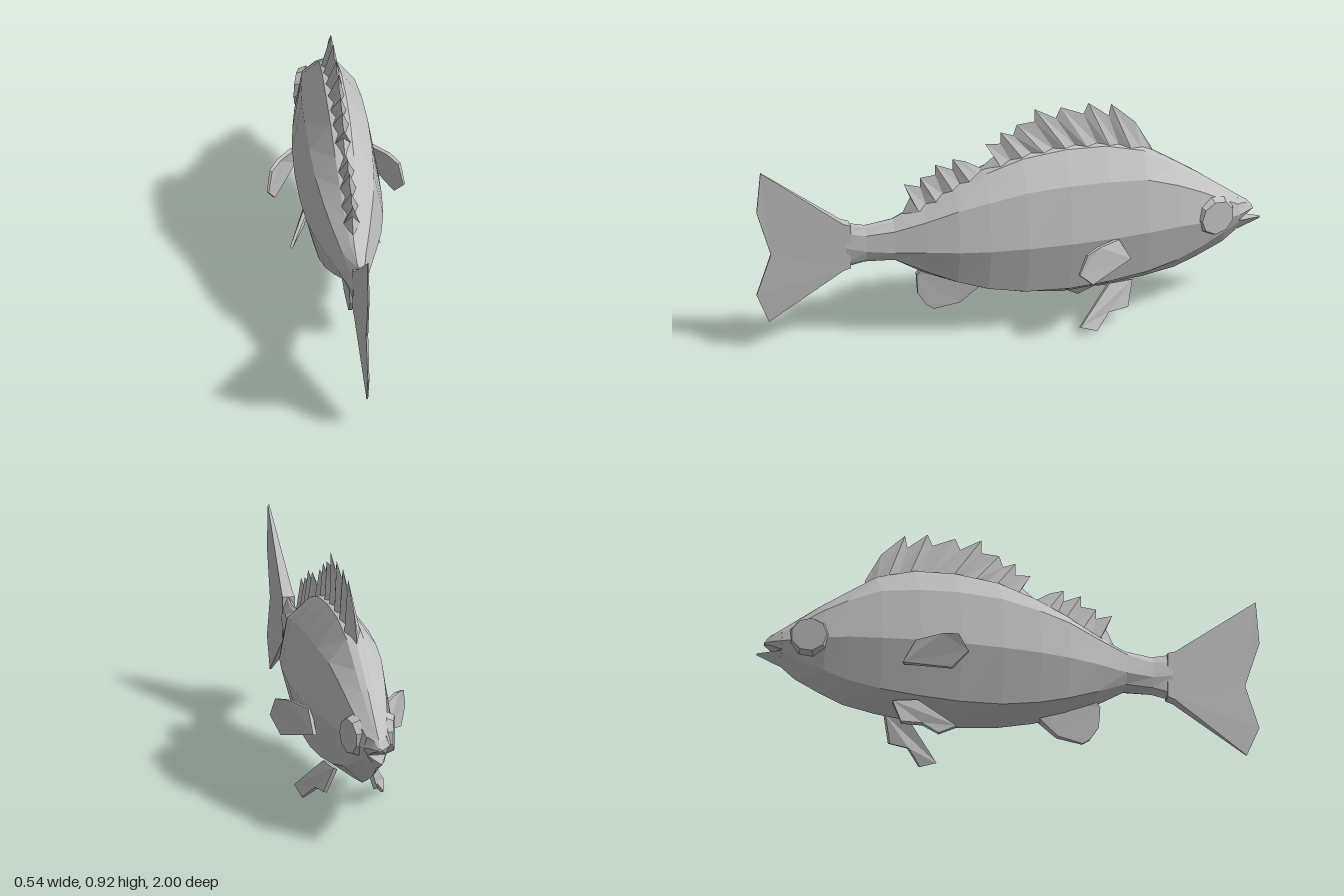
import * as THREE from 'three';

const skin = new THREE.MeshStandardMaterial({ color: 0xc0c0c0, side: THREE.DoubleSide });
skin.name = 'pale grey';

// Faceted mesh from a list of triangles, each three [x, y, z] corners
function facets(name, tris) {
  const g = new THREE.BufferGeometry();
  g.setAttribute('position', new THREE.Float32BufferAttribute(tris.flat(2), 3));
  g.computeVertexNormals();
  const m = new THREE.Mesh(g, skin);
  m.name = name;
  return m;
}

// Full ring from the +x half outline [x, y], running top to bottom
function ring(z, half) {
  const right = half.map(([x, y]) => [x, y, z]);
  const left = half.slice(1, -1).reverse().map(([x, y]) => [-x, y, z]);
  return [...right, ...left];
}

// Skin over rings ordered along z, with closed ends
function loft(name, rings) {
  const tris = [], n = rings[0].length, last = rings[rings.length - 1];
  for (let i = 0; i + 1 < rings.length; i++) {
    for (let j = 0; j < n; j++) {
      const k = (j + 1) % n;
      const a = rings[i][j], b = rings[i][k], c = rings[i + 1][k], d = rings[i + 1][j];
      tris.push([a, d, c], [a, c, b]);
    }
  }
  for (let j = 1; j + 1 < n; j++) {
    tris.push([rings[0][0], rings[0][j], rings[0][j + 1]]);
    tris.push([last[0], last[j + 1], last[j]]);
  }
  return facets(name, tris);
}

// Fin plate: outline of [x, y, z, half thickness], thickened along dir
function fin(name, pts, dir, side = 1) {
  const flat = pts.map(p => new THREE.Vector2(p[2], p[1]));
  const at = (i, s) => {
    const p = pts[i];
    return [side * (p[0] + s * dir[0] * p[3]), p[1] + s * dir[1] * p[3], p[2] + s * dir[2] * p[3]];
  };
  const tris = [];
  const add = (a, b, c) => tris.push(side > 0 ? [a, b, c] : [a, c, b]);
  for (const f of THREE.ShapeUtils.triangulateShape(flat, [])) {
    const cw = THREE.ShapeUtils.area(f.map(i => flat[i])) < 0;
    const [a, b, c] = cw ? f : [f[0], f[2], f[1]];
    add(at(a, 1), at(b, 1), at(c, 1));
    add(at(a, -1), at(c, -1), at(b, -1));
  }
  const cwAll = THREE.ShapeUtils.area(flat) < 0;
  pts.forEach((_, i) => {
    const j = (i + 1) % pts.length;
    const [a, b] = cwAll ? [i, j] : [j, i];
    add(at(a, 1), at(a, -1), at(b, -1));
    add(at(a, 1), at(b, -1), at(b, 1));
  });
  return facets(name, tris);
}

// Body stations: z, top y, shoulder y, half width, flank y, lower ridge y, belly y
const stations = [
  [-0.91, 0.45, 0.425, 0.052, 0.385, 0.345, 0.30],
  [-0.85, 0.495, 0.46, 0.072, 0.39, 0.318, 0.25],
  [-0.75, 0.57, 0.52, 0.10, 0.395, 0.27, 0.20],
  [-0.66, 0.63, 0.565, 0.117, 0.40, 0.235, 0.162],
  [-0.53, 0.715, 0.615, 0.138, 0.40, 0.205, 0.137],
  [-0.38, 0.755, 0.63, 0.154, 0.40, 0.187, 0.122],
  [-0.22, 0.76, 0.635, 0.162, 0.40, 0.178, 0.111],
  [-0.05, 0.74, 0.625, 0.16, 0.40, 0.185, 0.13],
  [0.10, 0.69, 0.595, 0.15, 0.40, 0.212, 0.165],
  [0.22, 0.635, 0.565, 0.13, 0.40, 0.25, 0.21],
  [0.34, 0.57, 0.52, 0.098, 0.40, 0.30, 0.265],
  [0.46, 0.515, 0.48, 0.062, 0.395, 0.355, 0.338],
  [0.57, 0.50, 0.465, 0.036, 0.40, 0.36, 0.34],
  [0.65, 0.52, 0.48, 0.025, 0.42, 0.35, 0.325],
];

// Height of the back at a given z
function backY(z) {
  const i = Math.max(1, stations.findIndex(s => s[0] >= z));
  const a = stations[i - 1], b = stations[i];
  return THREE.MathUtils.lerp(a[1], b[1], (z - a[0]) / (b[0] - a[0]));
}

// Spiny fin: crest of [z, y] tips and notches over a folded base on the back
function spinyFin(name, crest, z0, z1) {
  const tris = [];
  for (const s of [1, -1]) {
    const base = crest.map((_, i) => {
      const z = THREE.MathUtils.lerp(z0, z1, i / (crest.length - 1));
      const x = i === 0 || i === crest.length - 1 ? 0 : i % 2 ? 0.016 : 0.032;
      return [s * x, backY(z) - 0.012, z];
    });
    for (let i = 0; i + 1 < crest.length; i++) {
      const a = base[i], b = base[i + 1];
      const c = [0, crest[i + 1][1], crest[i + 1][0]], d = [0, crest[i][1], crest[i][0]];
      const quad = [[a, c, b], [a, d, c]];
      tris.push(...quad.map(t => (s > 0 ? t : [t[0], t[2], t[1]])));
    }
  }
  return facets(name, tris);
}

export function createModel() {
  const fish = new THREE.Group();
  fish.name = 'fish';

  // Trunk with six ridges
  fish.add(loft('body', stations.map(([z, yt, ys, w, ym, yl, yb]) => ring(z, [
    [0, yt], [0.24 * w, yt - 0.008], [0.76 * w, ys], [w, ym], [0.66 * w, yl], [0, yb]]))));

  // Open mouth
  fish.add(loft('upperJaw', [
    ring(-0.97, [[0, 0.395], [0.006, 0.392], [0.01, 0.387], [0.006, 0.383], [0, 0.383]]),
    ring(-0.945, [[0, 0.425], [0.016, 0.418], [0.03, 0.388], [0.022, 0.373], [0, 0.373]]),
    ring(-0.91, [[0, 0.45], [0.036, 0.428], [0.052, 0.385], [0.036, 0.355], [0, 0.355]])]));
  fish.add(loft('lowerJaw', [
    ring(-1, [[0, 0.343], [0.004, 0.342], [0, 0.335]]),
    ring(-0.91, [[0, 0.352], [0.036, 0.352], [0, 0.298]])]));

  // Back fins
  fish.add(spinyFin('frontDorsalFin', [
    [-0.57, 0.70], [-0.505, 0.82], [-0.41, 0.91], [-0.40, 0.86], [-0.32, 0.925], [-0.30, 0.88],
    [-0.21, 0.92], [-0.19, 0.875], [-0.105, 0.925], [-0.105, 0.87], [-0.035, 0.865],
    [-0.02, 0.82], [0.03, 0.84], [0.03, 0.79], [0.09, 0.795], [0.055, 0.74], [0.12, 0.685]], -0.57, 0.12));
  fish.add(spinyFin('rearDorsalFin', [
    [0.11, 0.685], [0.17, 0.73], [0.22, 0.745], [0.22, 0.70], [0.29, 0.73], [0.29, 0.685],
    [0.35, 0.68], [0.35, 0.64], [0.415, 0.66], [0.39, 0.60], [0.42, 0.535]], 0.09, 0.43));

  // Forked tail
  fish.add(fin('tailFin', [
    [0, 0.515, 0.63, 0.024], [0, 0.525, 0.66, 0.022], [0, 0.78, 0.985, 0.003], [0, 0.605, 1, 0.003],
    [0, 0.417, 0.943, 0.004], [0, 0.245, 1, 0.003], [0, 0.123, 0.95, 0.003],
    [0, 0.32, 0.66, 0.022], [0, 0.33, 0.63, 0.024]], [1, 0, 0]));

  // Fin under the rear belly
  fish.add(fin('analFin', [
    [0, 0.30, 0.33, 0.02], [0, 0.26, 0.365, 0.01], [0, 0.176, 0.36, 0.006], [0, 0.12, 0.325, 0.006],
    [0, 0.10, 0.296, 0.006], [0, 0.118, 0.195, 0.012], [0, 0.187, 0.114, 0.02], [0, 0.25, 0.13, 0.025]],
    [1, 0, 0]));

  // Paired fins and eyes
  for (const [label, s] of [['left', 1], ['right', -1]]) {
    fish.add(fin(label + 'PectoralFin', [
      [0.15, 0.395, -0.40, 0.009], [0.215, 0.405, -0.31, 0.008], [0.25, 0.395, -0.255, 0.006],
      [0.265, 0.32, -0.22, 0.004], [0.235, 0.255, -0.28, 0.005], [0.14, 0.30, -0.45, 0.009]],
      [0.85, 0.15, -0.5], s));
    fish.add(fin(label + 'PelvicFin', [
      [0.085, 0.17, -0.38, 0.009], [0.172, 0.037, -0.245, 0.005], [0.158, 0.006, -0.315, 0.005],
      [0.115, 0.06, -0.37, 0.008], [0.10, 0.065, -0.45, 0.008], [0.065, 0.165, -0.475, 0.009]],
      [0.91, 0.33, -0.26], s));
    const disc = new THREE.CylinderGeometry(0.07, 0.083, 0.03, 9).toNonIndexed();
    disc.computeVertexNormals();
    const eye = new THREE.Mesh(disc, skin);
    eye.name = label + 'Eye';
    eye.rotation.set(0, s * 0.28, -s * Math.PI / 2);
    eye.position.set(s * 0.077, 0.405, -0.81);
    fish.add(eye);
  }
  return fish;
}
